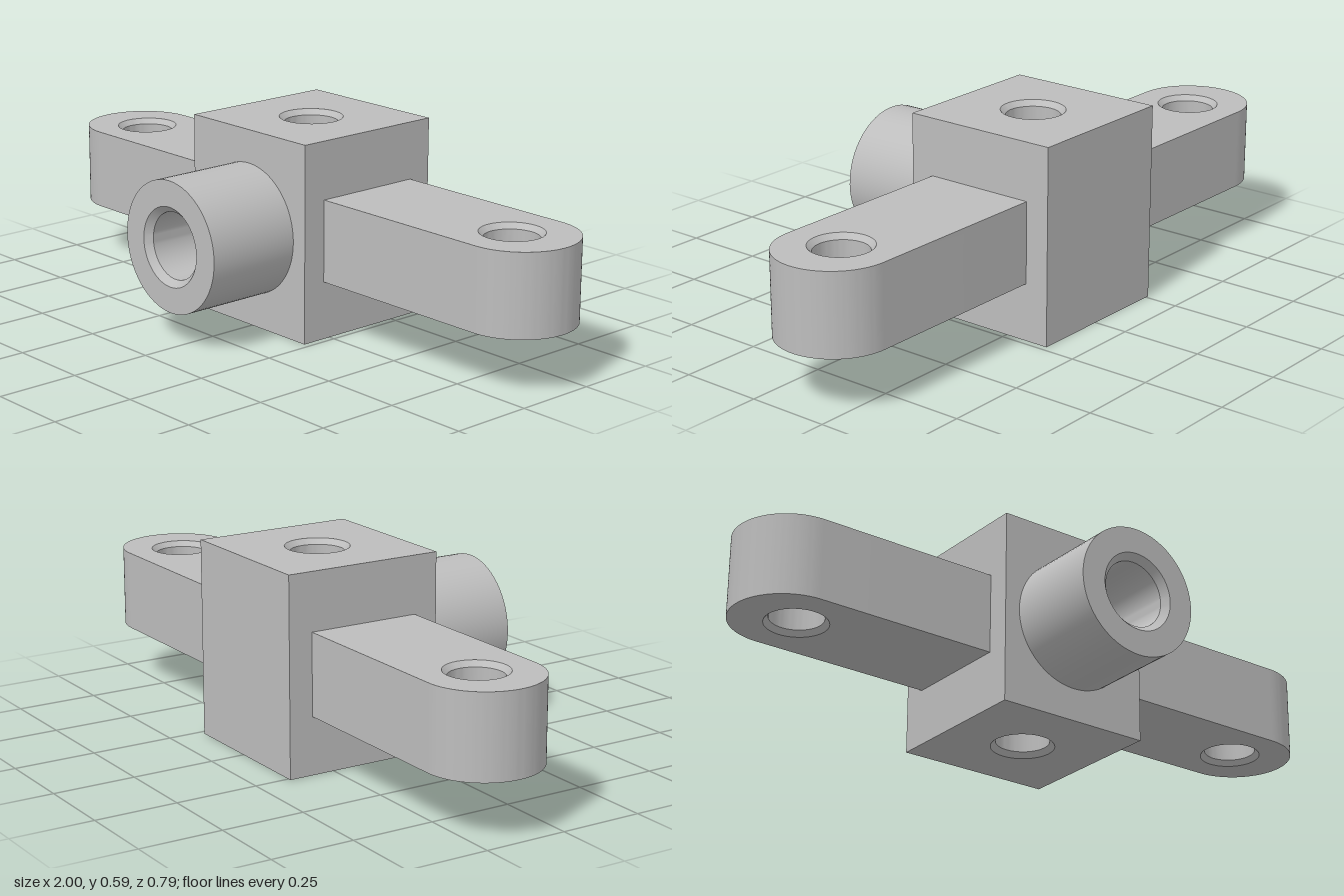
import * as THREE from 'three';
import { toCreasedNormals } from 'three/addons/utils/BufferGeometryUtils.js';

const CREASE = 0.5;
const CHAMFER = 0.016;
const MID_X = -0.015, MID_Y = 0.297, MID_Z = -0.148;

// Upright plate with a through hole that is chamfered at both mouths
function boredPlate(shape, holeX, mouth, bore, height) {
  const hole = new THREE.Path();
  hole.absarc(holeX, 0, mouth, 0, Math.PI * 2, true);
  shape.holes.push(hole);
  const geo = new THREE.ExtrudeGeometry(shape, {
    depth: height, steps: 3, bevelEnabled: false, curveSegments: 32,
  });
  // Slide the two inner rings to the chamfer depth and narrow the hole there
  const levels = [0, CHAMFER, height - CHAMFER, height];
  const pos = geo.attributes.position;
  for (let i = 0; i < pos.count; i++) {
    const level = Math.round(pos.getZ(i) / height * 3);
    pos.setZ(i, levels[level]);
    const dx = pos.getX(i) - holeX, dy = pos.getY(i);
    if ((level === 1 || level === 2) && Math.hypot(dx, dy) < mouth + 0.001) {
      pos.setXY(i, holeX + dx * bore / mouth, dy * bore / mouth);
    }
  }
  geo.rotateX(-Math.PI / 2);
  return toCreasedNormals(geo, CREASE);
}

export function createModel() {
  const model = new THREE.Group();
  model.name = 'mountingBracket';
  const grey = new THREE.MeshStandardMaterial({ color: 0xbdbdbd });
  grey.name = 'grey';

  const add = (name, geo, x, y, z) => {
    const mesh = new THREE.Mesh(geo, grey);
    mesh.name = name;
    mesh.position.set(x, y, z);
    model.add(mesh);
    return mesh;
  };

  // Centre block with a vertical hole
  const half = 0.246;
  const square = new THREE.Shape([
    new THREE.Vector2(-half, -half), new THREE.Vector2(half, -half),
    new THREE.Vector2(half, half), new THREE.Vector2(-half, half),
  ]);
  add('centreBlock', boredPlate(square, 0, 0.095, 0.08, 0.594), MID_X, 0, MID_Z);

  // Side arms with round ends, each running from the block out to |x| = 1
  const r = 0.172;
  for (const side of [1, -1]) {
    const start = half + side * MID_X;
    const outline = new THREE.Shape();
    outline.moveTo(start, -r);
    outline.lineTo(1 - r, -r);
    outline.absarc(1 - r, 0, r, -Math.PI / 2, Math.PI / 2, false);
    outline.lineTo(start, r);
    outline.closePath();
    const arm = add(side > 0 ? 'leftArm' : 'rightArm',
      boredPlate(outline, 0.802, 0.093, 0.079, 0.246), 0, 0.174, MID_Z);
    if (side < 0) arm.rotation.y = Math.PI;
  }

  // Front boss: hollow round spigot, its bore ending at the block face
  const length = 0.296;
  const profile = [
    [0.197, 0], [0.197, length], [0.119, length], [0.1, length - 0.02], [0.1, 0],
  ].map(([x, y]) => new THREE.Vector2(x, y));
  const boss = new THREE.LatheGeometry(profile, 64);
  boss.rotateX(Math.PI / 2);
  add('frontBoss', toCreasedNormals(boss, CREASE), MID_X, MID_Y, MID_Z + half);

  return model;
}
